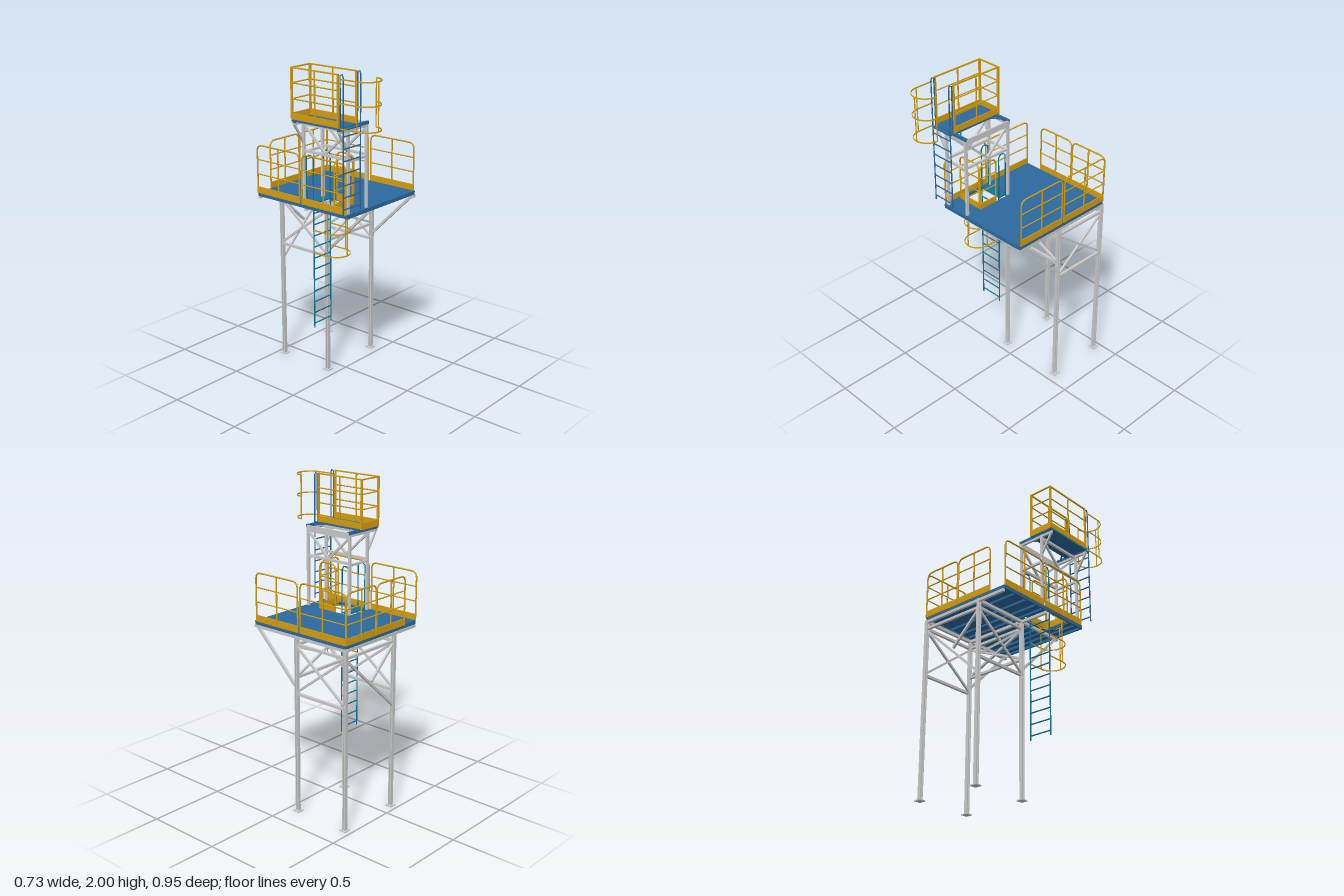
import * as THREE from 'three';

const material = (color) => new THREE.MeshStandardMaterial({ color, side: THREE.DoubleSide });
const steel = material(0xcccccc);
const blue = material(0x2c6a9f);
const yellow = material(0xd8a010);
const teal = material(0x0f769a);
const V = (x, y, z) => new THREE.Vector3(x, y, z);

export function createModel() {
  const model = new THREE.Group();

  function group(name, parent = model) {
    const g = new THREE.Group();
    g.name = name;
    parent.add(g);
    return g;
  }
  function add(parent, name, geometry, mat) {
    const m = new THREE.Mesh(geometry, mat);
    m.name = name;
    parent.add(m);
    return m;
  }
  // Box given by its limits
  function block(parent, name, x0, x1, y0, y1, z0, z1, mat) {
    const m = add(parent, name, new THREE.BoxGeometry(x1 - x0, y1 - y0, z1 - z0), mat);
    m.position.set((x0 + x1) / 2, (y0 + y1) / 2, (z0 + z1) / 2);
    return m;
  }
  // Square bar between two points
  function bar(parent, name, a, b, w, mat, h = w) {
    const m = add(parent, name, new THREE.BoxGeometry(w, h, a.distanceTo(b)), mat);
    m.position.copy(a).lerp(b, 0.5);
    m.lookAt(b);
    return m;
  }
  // Round pipe through points, with the inner corners rounded by radius c
  function pipe(parent, name, pts, r, mat, c = 0) {
    const path = new THREE.CurvePath();
    let from = pts[0];
    for (let i = 1; i < pts.length - 1; i++) {
      const p = pts[i];
      const a = p.clone().add(pts[i - 1].clone().sub(p).setLength(c));
      const b = p.clone().add(pts[i + 1].clone().sub(p).setLength(c));
      path.add(new THREE.LineCurve3(from, a));
      path.add(new THREE.QuadraticBezierCurve3(a, p, b));
      from = b;
    }
    path.add(new THREE.LineCurve3(from, pts[pts.length - 1]));
    return add(parent, name, new THREE.TubeGeometry(path, pts.length > 2 ? 60 : 1, r, 6, false), mat);
  }

  // Guard rail panel from a to b ([x, z]), with top rail, two middle rails and toe board
  function panel(name, a, b, y, h, corner = 0.04) {
    const g = group(name);
    const at = (t, v) => V(a[0] + (b[0] - a[0]) * t, y + v, a[1] + (b[1] - a[1]) * t);
    if (corner) pipe(g, 'railHoop', [at(0, 0), at(0, h), at(1, h), at(1, 0)], 0.005, yellow, corner);
    else {
      bar(g, 'topRail', at(0, h - 0.004), at(1, h - 0.004), 0.008, yellow);
      for (const t of [0, 1]) bar(g, 'post', at(t, 0), at(t, h), 0.01, yellow);
    }
    for (const v of [0.31, 0.63]) pipe(g, 'middleRail', [at(0, 0.05 + v * (h - 0.02)), at(1, 0.05 + v * (h - 0.02))].map((p, i) => at(i, (v === 0.31 ? 0.4 : 0.7) * h)), 0.004, yellow);
    if (at(0, 0).distanceTo(at(1, 0)) > 0.2) pipe(g, 'middlePost', [at(0.5, 0), at(0.5, h)], 0.005, yellow);
    bar(g, 'toeBoard', at(0, 0.02), at(1, 0.02), 0.005, yellow, 0.042);
  }

  // Legs with H section and base plates
  const legX = [-0.095, 0.342], legZ = [-0.07, -0.452];
  const s = 0.011, t = 0.0025;
  const hShape = new THREE.Shape([[-s, -s], [s, -s], [s, -s + 2 * t], [t, -s + 2 * t], [t, s - 2 * t], [s, s - 2 * t],
    [s, s], [-s, s], [-s, s - 2 * t], [-t, s - 2 * t], [-t, -s + 2 * t], [-s, -s + 2 * t]].map((p) => new THREE.Vector2(...p)));
  const legGeometry = new THREE.ExtrudeGeometry(hShape, { depth: 1.13, bevelEnabled: false }).rotateX(-Math.PI / 2);
  const legs = group('legs');
  for (const x of legX) for (const z of legZ) {
    add(legs, 'leg', legGeometry, steel).position.set(x, 0, z);
    block(legs, 'basePlate', x - 0.023, x + 0.023, 0, 0.006, z - 0.023, z + 0.023, steel);
  }

  // Bracing between the legs and under the overhang
  const bracing = group('bracing');
  const [xl, xr] = legX, [zf, zb] = legZ;
  for (const x of legX) {
    for (const y of [1.09, 0.78]) bar(bracing, 'sideTie', V(x, y, zf), V(x, y, zb), 0.016, steel);
    bar(bracing, 'sideBrace', V(x, 0.79, zf), V(x, 1.08, zb), 0.013, steel);
    bar(bracing, 'sideBrace', V(x, 1.08, zf), V(x, 0.79, zb), 0.013, steel);
    bar(bracing, 'overhangBrace', V(x, 1.13, 0.245), V(x, 0.83, zf + 0.015), 0.016, steel);
  }
  for (const y of [1.09, 0.885]) bar(bracing, 'frontTie', V(xl, y, zf), V(xr, y, zf), 0.016, steel);
  bar(bracing, 'frontBrace', V(xl, 1.08, zf), V(xr, 0.89, zf), 0.014, steel);
  bar(bracing, 'frontBrace', V(xl, 0.89, zf), V(xr, 1.08, zf), 0.014, steel);
  bar(bracing, 'backTie', V(xl, 1.09, zb), V(xr, 1.09, zb), 0.016, steel);
  bar(bracing, 'backLongBrace', V(xl, 0.68, zb), V(xr, 1.08, zb), 0.014, steel);
  bar(bracing, 'backShortBrace', V(xl, 1.08, zb), V(0.11, 0.89, zb), 0.014, steel);

  // Main deck with ladder opening
  const platform = group('mainPlatform');
  const deckShape = new THREE.Shape([[-0.302, -0.268], [0.35, -0.268], [0.35, 0.455], [-0.302, 0.455]].map((p) => new THREE.Vector2(...p)));
  deckShape.holes.push(new THREE.Path([[-0.285, -0.15], [-0.285, 0.09], [-0.105, 0.09], [-0.105, -0.15]].map((p) => new THREE.Vector2(...p))));
  const deck = add(platform, 'deck', new THREE.ExtrudeGeometry(deckShape, { depth: 0.008, bevelEnabled: false }).rotateX(-Math.PI / 2), blue);
  deck.position.y = 1.162;
  for (const x of [-0.297, 0.345]) block(platform, 'edgeBeam', x - 0.005, x + 0.005, 1.146, 1.163, -0.453, 0.266, blue);
  for (const z of [-0.45, 0.263]) block(platform, 'edgeBeam', -0.3, 0.348, 1.146, 1.163, z - 0.005, z + 0.005, blue);
  for (const z of [-0.35, -0.25, -0.16, -0.095, 0.155, 0.21]) block(platform, 'joist', -0.3, 0.348, 1.148, 1.163, z - 0.004, z + 0.004, blue);
  for (const z of [-0.03, 0.04, 0.1]) block(platform, 'joist', -0.1, 0.348, 1.148, 1.163, z - 0.004, z + 0.004, blue);
  for (const x of legX) block(platform, 'supportBeam', x - 0.009, x + 0.009, 1.128, 1.147, -0.463, 0.272, steel);
  for (const z of [zf, zb]) block(platform, 'crossBeam', -0.295, 0.345, 1.128, 1.146, z - 0.008, z + 0.008, steel);

  // Main guard rails
  const top = 1.168, rise = 0.305;
  panel('rightSideRailBack', [-0.303, -0.452], [-0.303, -0.105], top, rise);
  panel('rightSideRailFront', [-0.303, -0.085], [-0.303, 0.255], top, rise);
  panel('leftSideRailBack', [0.348, -0.455], [0.348, -0.105], top, rise);
  panel('leftSideRailFront', [0.348, -0.085], [0.348, 0.255], top, rise);
  panel('backRailLeft', [0.083, -0.457], [0.346, -0.457], top, rise);
  panel('backRailRight', [-0.185, -0.457], [0.076, -0.457], top, rise);
  panel('openingFrontRail', [-0.28, 0.15], [-0.115, 0.15], top, rise);
  panel('openingSideRail', [-0.105, 0.02], [-0.105, 0.15], top, rise);

  // Upper platform frame
  const upper = group('upperPlatform');
  for (const z of [-0.088, 0.252]) {
    for (const x of [-0.278, -0.111]) block(upper, 'post', x - 0.008, x + 0.008, 1.17, 1.675, z - 0.008, z + 0.008, steel);
    block(upper, 'frameBeam', -0.365, -0.1, 1.675, 1.693, z - 0.008, z + 0.008, blue);
    block(upper, 'lowerBeam', -0.365, -0.1, 1.66, 1.675, z - 0.006, z + 0.006, steel);
    bar(upper, 'kneeBrace', V(-0.36, 1.67, z), V(-0.28, 1.545, z), 0.012, steel);
    bar(upper, 'postTie', V(-0.278, 1.485, z), V(-0.111, 1.485, z), 0.014, steel);
    const inward = z < 0 ? 0.05 : -0.05;
    bar(upper, 'cornerBrace', V(-0.15, 1.684, z), V(-0.205, 1.684, z + inward), 0.008, blue);
  }
  for (const x of [-0.278, -0.111]) {
    for (const y of [1.655, 1.495]) bar(upper, 'sideTie', V(x, y, -0.088), V(x, y, 0.252), 0.015, steel);
    for (const z of [-0.08, 0.245]) bar(upper, 'sideBrace', V(x, 1.65, z), V(x, 1.5, 0.083), 0.013, steel);
  }
  block(upper, 'endBeam', -0.109, -0.099, 1.662, 1.688, -0.09, 0.255, steel);
  block(upper, 'deck', -0.365, -0.2, 1.683, 1.695, -0.103, 0.262, blue);
  panel('upperRightRail', [-0.362, -0.098], [-0.362, 0.25], 1.692, 0.308, 0);
  panel('upperLeftRail', [-0.204, -0.098], [-0.204, 0.25], 1.692, 0.308, 0);
  panel('upperBackRail', [-0.362, -0.101], [-0.204, -0.101], 1.692, 0.308, 0);

  // Ladders whose stringers loop over onto the platform
  function ladder(name, xs, z, y0, y1, landing, back, mat) {
    const g = group(name);
    for (const x of xs) pipe(g, 'stringer', [V(x, y0, z), V(x, y1, z), V(x, y1, z - back), V(x, landing, z - back)], 0.004, mat, back * 0.4);
    for (let y = y0 + 0.03; y < landing; y += 0.0715) pipe(g, 'rung', [V(xs[0], y, z), V(xs[1], y, z)], 0.004, mat);
    return g;
  }
  const low = ladder('lowerLadder', [-0.273, -0.121], -0.02, 0.37, 1.47, 1.17, 0.055, teal);
  block(low, 'landingStep', -0.275, -0.119, 1.168, 1.176, -0.077, -0.024, teal);
  const high = ladder('upperLadder', [-0.358, -0.206], 0.284, 1.19, 2, 1.69, 0.022, blue);
  block(high, 'landingStep', -0.36, -0.204, 1.683, 1.69, 0.262, 0.288, blue);

  // Safety cages: U shaped hoops joined by upright strips
  function cage(name, x, z, bend, r, ys, openSide) {
    const g = group(name);
    const outline = [V(x - r, 0, z)];
    for (let i = 0; i <= 16; i++) {
      const a = Math.PI * (1 - i / 16);
      outline.push(V(x + r * Math.cos(a), 0, bend + r * Math.sin(a)));
    }
    if (!openSide) outline.push(V(x + r, 0, z));
    const lift = (p, y) => V(p.x, y, p.z);
    for (const y of ys) for (let i = 1; i < outline.length; i++)
      bar(g, 'hoop', lift(outline[i - 1], y), lift(outline[i], y), 0.003, yellow, 0.008);
    for (const i of [1, 9, 17]) bar(g, 'strip', lift(outline[i], ys[0]), lift(outline[i], ys[ys.length - 1]), 0.005, yellow);
  }
  cage('lowerCage', -0.195, -0.02, 0.093, 0.084, [0.87, 1.012, 1.155], false);
  cage('upperCage', -0.281, 0.27, 0.389, 0.084, [1.694, 1.838, 1.973], true);

  return model;
}
